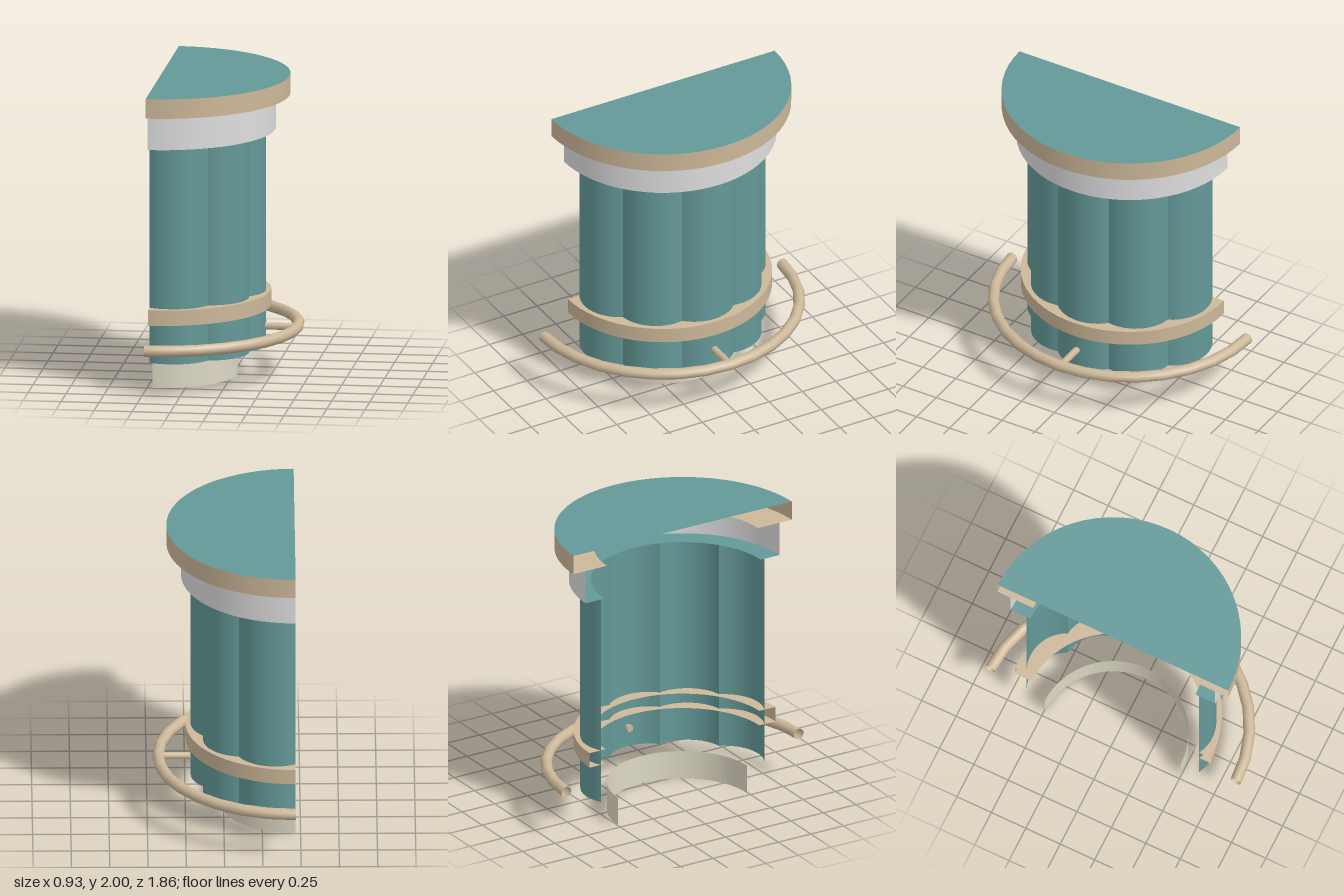
import * as THREE from 'three';

const mat = (name, color) => new THREE.MeshStandardMaterial({ name, color, side: THREE.DoubleSide });

export function createModel() {
  const teal = mat('teal', 0x649998);
  const tan = mat('tan', 0xcdb899);
  const white = mat('white', 0xdedede);
  const cream = mat('cream', 0xddd8c4);

  const model = new THREE.Group();
  model.name = 'halfTower';
  const body = new THREE.Group();
  body.name = 'body';
  body.position.x = -0.465; // the axis lies on the cut plane
  model.add(body);

  const add = (name, geometry, material, parent = body) => {
    const mesh = new THREE.Mesh(geometry, material);
    mesh.name = name;
    parent.add(mesh);
    return mesh;
  };
  // Open half-round wall on the +x side
  const wall = (name, r, y0, y1, material) =>
    add(name, new THREE.CylinderGeometry(r, r, y1 - y0, 32, 1, true, 0, Math.PI)
      .translate(0, (y0 + y1) / 2, 0), material);
  // Flat half ring at height y
  const ledge = (name, r0, r1, y, material, up = true) =>
    add(name, new THREE.RingGeometry(r0, r1, 32, 1, -Math.PI / 2, Math.PI)
      .rotateX(up ? -Math.PI / 2 : Math.PI / 2).translate(0, y, 0), material);

  // Roof and the stepped crown below it
  add('roof', new THREE.CircleGeometry(0.838, 32, -Math.PI / 2, Math.PI)
    .rotateX(-Math.PI / 2).translate(0, 2, 0), teal);
  wall('roofRim', 0.838, 1.87, 2, tan);
  ledge('roofRimUnderside', 0.58, 0.838, 1.87, tan, false);
  wall('crownBand', 0.743, 1.64, 1.87, white);
  ledge('crownUnderside', 0.6, 0.743, 1.64, teal, false);

  // Scalloped column: five bulging arcs meeting in sharp creases
  const column = new THREE.Group();
  column.name = 'column';
  body.add(column);
  const lobeR = 0.266, lobeCentre = 0.414, half = 0.817;
  for (let i = -2; i <= 2; i++) {
    const lobe = new THREE.CylinderGeometry(lobeR, lobeR, 1.445, 12, 1, true, Math.PI / 2 - half, 2 * half)
      .translate(lobeCentre, 0.9175, 0).rotateY(i * Math.PI / 5);
    add('columnLobe', lobe, teal, column);
  }

  // Collar around the column
  wall('collar', 0.713, 0.46, 0.563, tan);
  ledge('collarTop', 0.59, 0.713, 0.563, tan);
  ledge('collarUnderside', 0.59, 0.713, 0.46, tan, false);

  // Rail hoop and its strut
  add('railHoop', new THREE.TorusGeometry(0.892, 0.038, 10, 16, Math.PI)
    .rotateZ(-Math.PI / 2).rotateX(Math.PI / 2).translate(0, 0.328, 0), tan);
  add('railStrut', new THREE.CylinderGeometry(0.024, 0.024, 0.24, 8)
    .rotateZ(Math.PI / 2).translate(0.77, 0.328, 0), tan);

  // Foot
  wall('foot', 0.495, 0, 0.195, cream);

  return model;
}
